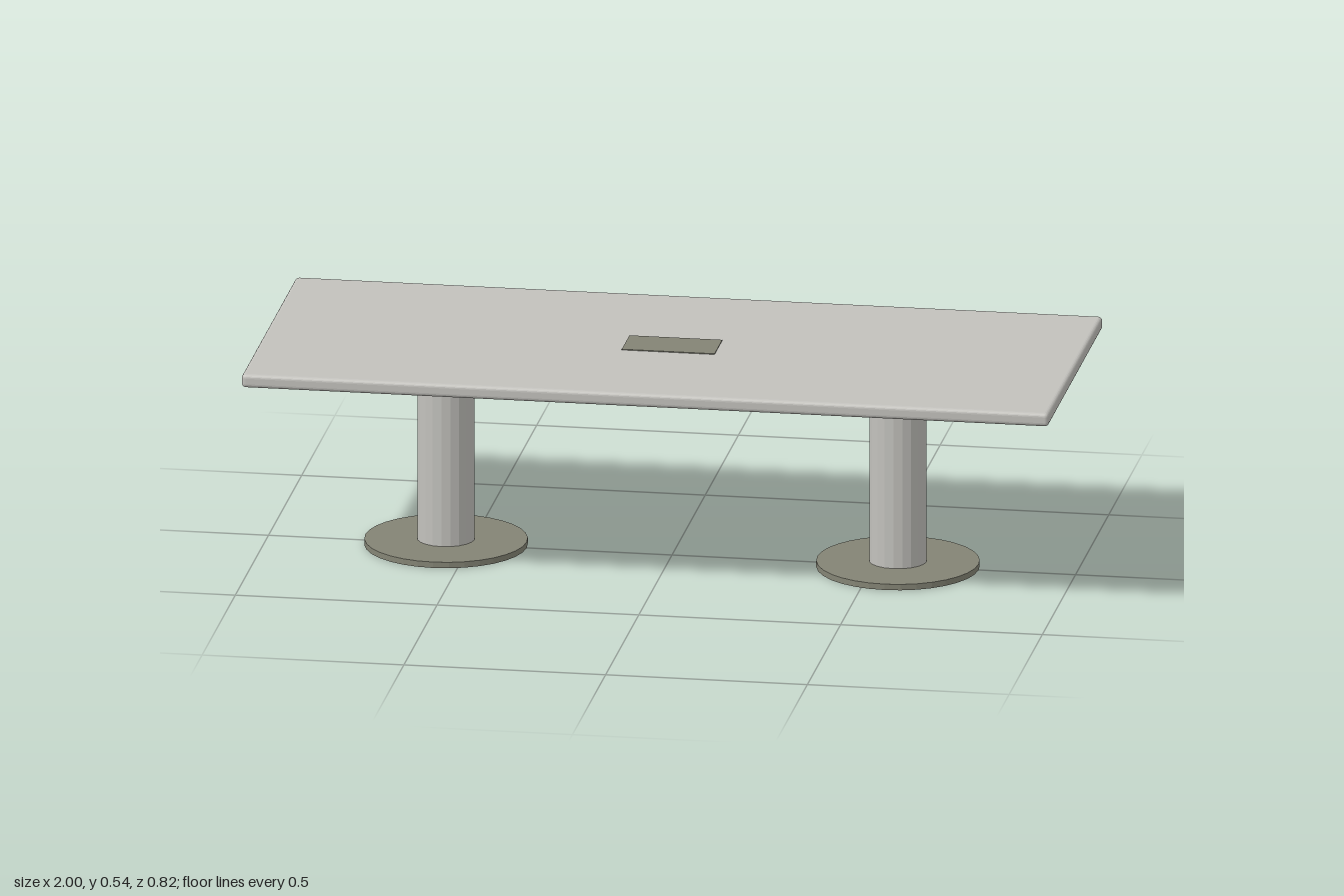
import * as THREE from 'three';
import { RoundedBoxGeometry } from 'three/addons/geometries/RoundedBoxGeometry.js';

export function createModel() {
  const table = new THREE.Group();
  table.name = 'conferenceTable';

  const paleGrey = new THREE.MeshStandardMaterial({ name: 'paleGrey', color: 0xc2c1bc, flatShading: true });
  const oliveGrey = new THREE.MeshStandardMaterial({ name: 'oliveGrey', color: 0x848475, flatShading: true });

  const add = (parent, name, geometry, material, x, y, z) => {
    const mesh = new THREE.Mesh(geometry, material);
    mesh.name = name;
    mesh.position.set(x, y, z);
    parent.add(mesh);
    return mesh;
  };

  // Slab with softly rounded edges
  const bottom = 0.503, top = 0.537;
  add(table, 'tabletop', new RoundedBoxGeometry(2, top - bottom, 0.82, 3, 0.01),
    paleGrey, 0, (top + bottom) / 2, 0);

  // Thin cable cover set into the middle of the top
  add(table, 'cableCover', new THREE.BoxGeometry(0.23, 0.006, 0.116), oliveGrey, 0, top - 0.001, 0);

  // Two pedestals: a round foot plate and a faceted column
  const footHeight = 0.015;
  const footGeometry = new THREE.CylinderGeometry(0.2, 0.2, footHeight, 32);
  const columnHeight = bottom - footHeight + 0.004;
  const columnGeometry = new THREE.CylinderGeometry(0.071, 0.071, columnHeight, 20);
  for (const side of [-1, 1]) {
    const pedestal = new THREE.Group();
    pedestal.name = side > 0 ? 'leftPedestal' : 'rightPedestal';
    pedestal.position.x = side * 0.56;
    add(pedestal, 'footPlate', footGeometry, oliveGrey, 0, footHeight / 2, 0);
    add(pedestal, 'column', columnGeometry, paleGrey, 0, footHeight + columnHeight / 2, 0);
    table.add(pedestal);
  }

  return table;
}
